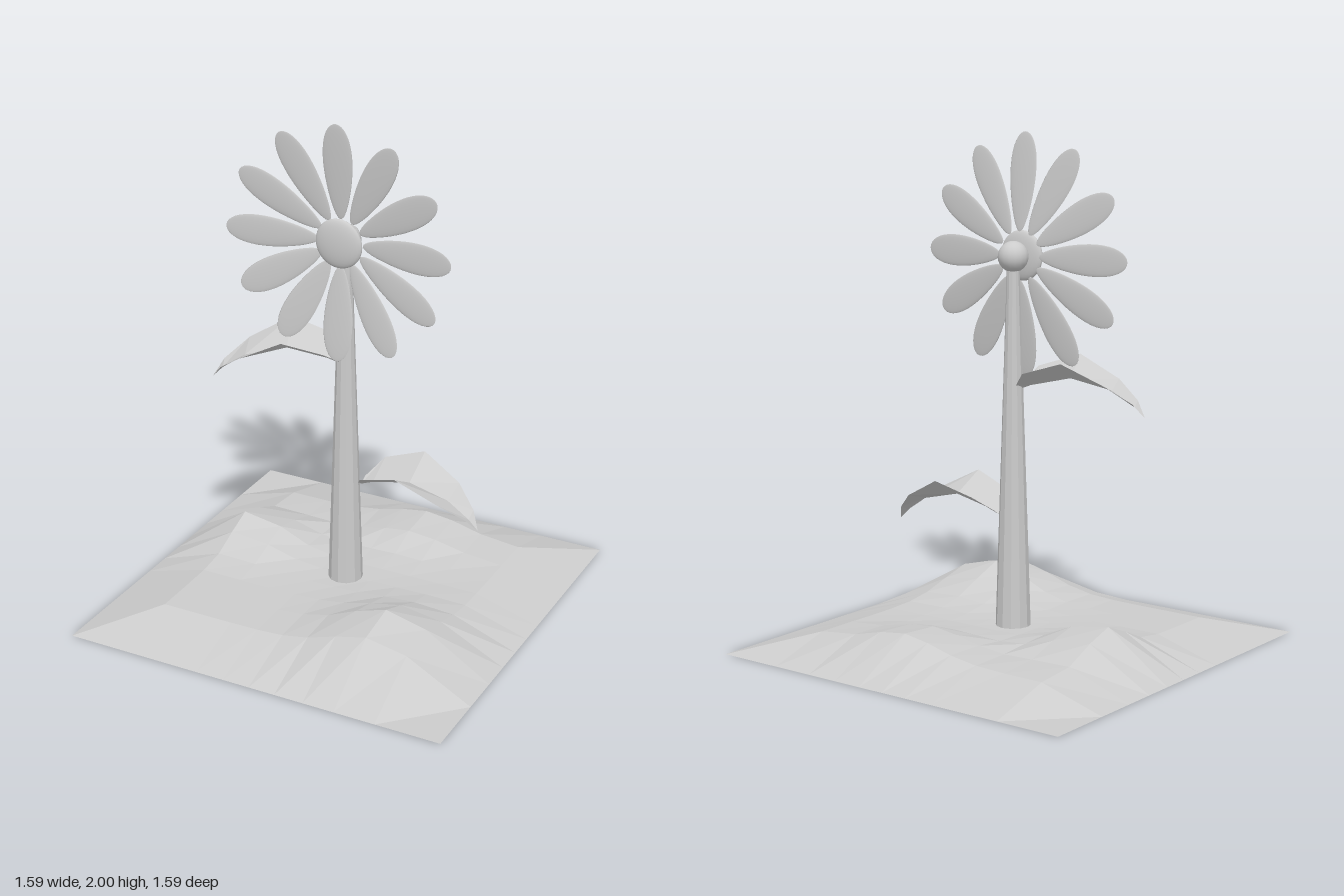
import * as THREE from 'three';

const matte = (opts = {}) => new THREE.MeshStandardMaterial({ color: 0xcccccc, ...opts });
const smooth = matte();
const faceted = matte({ flatShading: true, side: THREE.DoubleSide });

function part(name, geometry, material, parent) {
  const mesh = new THREE.Mesh(geometry, material);
  mesh.name = name;
  parent.add(mesh);
  return mesh;
}

// Hilly ground: unevenly spaced grid, zero at the rim, rounded hills inside
function groundGeometry() {
  const lines = [-0.795, -0.53, -0.36, -0.23, -0.11, 0, 0.11, 0.23, 0.36, 0.53, 0.795];
  const n = lines.length - 1;
  const hills = [ // x, z, height, spread in x, spread in z
    [0.38, 0.4, 0.135, 0.24, 0.24],
    [-0.48, -0.12, 0.115, 0.2, 0.17],
    [0.12, -0.46, 0.08, 0.22, 0.17],
  ];
  const g = new THREE.PlaneGeometry(1, 1, n, n).rotateX(-Math.PI / 2);
  const p = g.attributes.position;
  for (let j = 0; j <= n; j++) {
    for (let i = 0; i <= n; i++) {
      const x = lines[i], z = lines[j];
      const rim = i === 0 || j === 0 || i === n || j === n;
      let y = 0.075;
      for (const [hx, hz, h, sx, sz] of hills) {
        y += h * Math.exp(-(((x - hx) / sx) ** 2) - ((z - hz) / sz) ** 2);
      }
      p.setXYZ(j * (n + 1) + i, x, rim ? 0 : y, z);
    }
  }
  return g;
}

// Leaf folded along its midrib, pointing along +x
function leafGeometry() {
  const rows = [ // x, half width, edge height, midrib height
    [0.02, 0.03, 0.53, 0.51],
    [0.07, 0.11, 0.59, 0.53],
    [0.23, 0.138, 0.64, 0.565],
    [0.395, 0.105, 0.555, 0.525],
    [0.485, 0.045, 0.485, 0.465],
    [0.525, 0, 0.425, 0.425],
  ];
  const pos = [], index = [];
  rows.forEach(([x, w, edge, rib], r) => {
    pos.push(x, edge, -w, x, rib, 0, x, edge, w);
    if (r === rows.length - 1) return;
    for (let k = 0; k < 2; k++) {
      const a = r * 3 + k, b = a + 1, c = a + 3, d = a + 4;
      index.push(a, b, c, b, d, c);
    }
  });
  const g = new THREE.BufferGeometry();
  g.setAttribute('position', new THREE.Float32BufferAttribute(pos, 3));
  g.setIndex(index);
  g.computeVertexNormals();
  return g;
}

// Thin egg-shaped petal along +y, wider at the tip and leaning forward
function petalGeometry() {
  const g = new THREE.SphereGeometry(1, 20, 20);
  const p = g.attributes.position;
  for (let i = 0; i < p.count; i++) {
    const u = p.getY(i);
    const x = p.getX(i) * 0.059 * (1 + 0.3 * u);
    const z = p.getZ(i) * 0.006 + 0.06 + 0.019 * u;
    p.setXYZ(i, x, 0.283 + 0.19 * u, z);
  }
  g.computeVertexNormals();
  return g;
}

export function createModel() {
  const model = new THREE.Group();
  model.name = 'flower';

  part('ground', groundGeometry(), faceted, model);

  // Tapered stem, open at both ends
  const stem = part('stem', new THREE.CylinderGeometry(0.024, 0.07, 1.44, 12, 1, true), faceted, model);
  stem.position.y = 0.78;

  // Two leaves on opposite sides of the stem
  const leaf = leafGeometry();
  part('leftLeaf', leaf, faceted, model).position.x = 0.05;
  const upper = part('rightLeaf', leaf, faceted, model);
  upper.position.y = 0.505;
  upper.rotation.y = Math.PI + 0.34;

  // Flower head
  const head = new THREE.Group();
  head.name = 'flowerHead';
  head.position.y = 1.53;
  model.add(head);

  part('stemKnob', new THREE.SphereGeometry(0.06, 16, 12), smooth, head);

  const disc = part('flowerCentre', new THREE.SphereGeometry(0.098, 24, 16), smooth, head);
  disc.scale.z = 0.24;
  disc.position.z = 0.055;

  const petal = petalGeometry();
  for (let i = 0; i < 12; i++) {
    part('petal', petal, smooth, head).rotation.z = (i * Math.PI) / 6;
  }
  return model;
}
